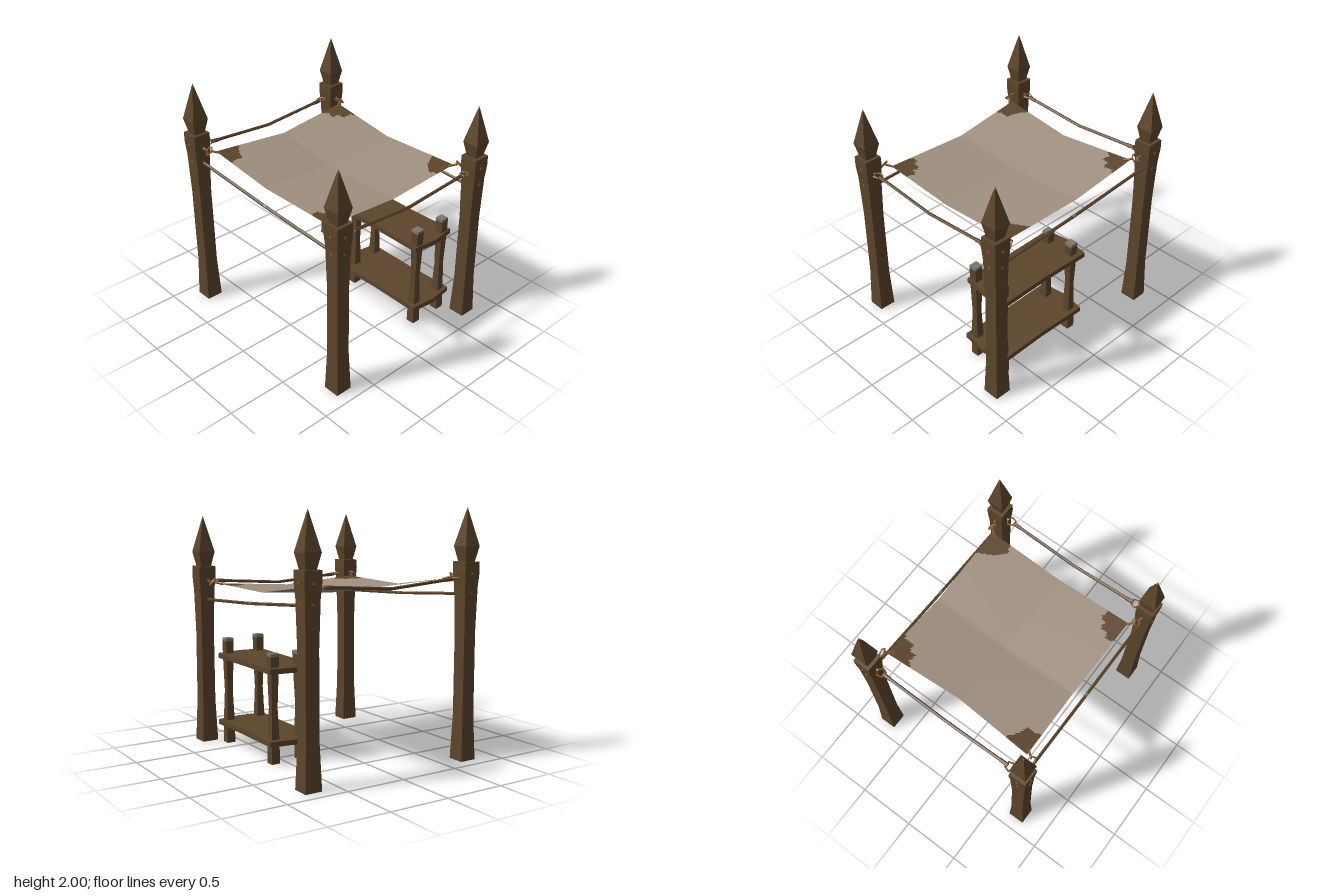
import * as THREE from 'three';

const mat = (name, color) => {
  const m = new THREE.MeshStandardMaterial({ color });
  m.name = name;
  return m;
};

export function createModel() {
  const wood = mat('wood', 0x5c452b);
  const cloth = mat('cloth', 0xa09080);
  const copper = mat('copper', 0x8a5a30);
  const worn = mat('worn wood', 0x7d766b);
  cloth.side = THREE.DoubleSide;
  const patchWood = mat('patch brown', 0x5c452b);
  patchWood.side = THREE.DoubleSide;

  const model = new THREE.Group();
  model.name = 'canopyStall';

  const add = (parent, name, geo, material, x = 0, y = 0, z = 0) => {
    const m = new THREE.Mesh(geo, material);
    m.name = name;
    m.position.set(x, y, z);
    parent.add(m);
    return m;
  };
  const faceted = (geo) => {
    const g = geo.index ? geo.toNonIndexed() : geo;
    g.computeVertexNormals();
    return g;
  };
  // Square turned post from [half width, height] pairs
  const squarePost = (profile) => faceted(new THREE.LatheGeometry(
    profile.map(([h, y]) => new THREE.Vector2(h * Math.SQRT2, y)), 4).rotateY(Math.PI / 4));
  // Straight five-sided bar between two points
  const bar = (parent, name, a, b, r, material) => {
    const from = new THREE.Vector3(...a), to = new THREE.Vector3(...b);
    const dir = to.clone().sub(from);
    const m = add(parent, name, faceted(new THREE.CylinderGeometry(r, r, dir.length(), 5)), material);
    m.position.copy(from).lerp(to, 0.5);
    m.quaternion.setFromUnitVectors(new THREE.Vector3(0, 1, 0), dir.normalize());
  };
  const ringGeo = faceted(new THREE.TorusGeometry(0.037, 0.008, 4, 5));

  // Corner posts with spearhead finials; the back pair is taller
  for (const sz of [1, -1]) {
    const lift = sz > 0 ? 0 : 0.08;
    const top = 1.5 + lift;
    for (const sx of [1, -1]) {
      const post = new THREE.Group();
      post.name = (sz > 0 ? 'front' : 'back') + (sx > 0 ? 'Left' : 'Right') + 'Post';
      post.position.set(sx * 0.725, 0, sz * 0.83);
      model.add(post);
      add(post, 'shaft', squarePost([[0, 0], [0.07, 0], [0.057, 0.36], [0.056, 0.95 + lift],
        [0.064, top - 0.2], [0.073, top - 0.08], [0.072, top], [0, top]]), wood);
      add(post, 'finial', squarePost([[0.044, top - 0.005], [0.07, top + 0.12], [0.006, top + 0.395]]), wood);
      add(post, 'finialTip', squarePost([[0.006, top + 0.395], [0, top + 0.42]]), worn);

      // Nail heads on the outer faces
      for (const [dy, h] of [[0.09, 0.072], [0.24, 0.062]]) {
        add(post, 'nail', new THREE.BoxGeometry(0.02, 0.016, 0.012), copper, 0, top - dy, sz * h);
        add(post, 'nail', new THREE.BoxGeometry(0.012, 0.016, 0.02), copper, sx * h, top - dy, 0);
      }

      // Ring and hook for the end rope
      const y = 1.375 + lift;
      const px = sx * 0.725, pz = sz * 0.83;
      bar(model, 'ropeHook', [px - sx * 0.06, y, pz], [px - sx * 0.09, y, pz], 0.01, copper);
      const flat = add(model, 'ropeRing', ringGeo, copper, sx * 0.61, y, pz);
      flat.rotation.set(Math.PI / 2, 0, sx > 0 ? 0 : Math.PI);

      // Tilted ring and hooks tying the cloth corner to the post
      bar(model, 'clothHook', [px, y + 0.01, pz - sz * 0.05], [px - sx * 0.01, y, pz - sz * 0.1], 0.01, copper);
      const tilted = add(model, 'clothRing', ringGeo, copper, sx * 0.708, y, sz * 0.70);
      tilted.lookAt(sx * 0.708 + sx * 0.75, y + 0.65, sz * 0.70 + sz * 0.25);
      bar(model, 'clothTie', [sx * 0.70, y, sz * 0.69], [sx * 0.64, 1.355 + lift, sz * 0.64], 0.009, copper);
    }

    // End rope, sagging at the middle
    const ry = 1.37 + lift, z = sz * 0.83;
    for (const sx of [1, -1]) {
      bar(model, 'endRope', [sx * 0.58, ry, z], [0, ry - 0.043, z], 0.013, wood);
      bar(model, 'endRopeSleeve', [sx * 0.59, ry, z], [sx * 0.52, ry - 0.005, z], 0.016, wood);
    }
  }

  // Side rails with a small joint at the middle
  for (const sx of [1, -1]) {
    const x = sx * 0.72;
    bar(model, 'sideRope', [x, 1.22, 0.78], [x, 1.262, 0], 0.013, wood);
    bar(model, 'sideRope', [x, 1.262, 0], [x, 1.325, -0.78], 0.013, wood);
    bar(model, 'ropeJoint', [x, 1.261, 0.03], [x, 1.263, 0], 0.0145, worn);
  }

  // Sagging cloth: bilinear between a 3 x 3 set of points, brown near each corner
  const ctrl = [
    [[-0.655, 1.44, -0.68], [0.01, 1.4, -0.63], [0.68, 1.44, -0.68]],
    [[-0.642, 1.352, -0.07], [0.01, 1.315, -0.07], [0.67, 1.352, -0.07]],
    [[-0.655, 1.365, 0.66], [0.01, 1.32, 0.66], [0.68, 1.365, 0.66]],
  ].map((row) => row.map((p) => new THREE.Vector3(...p)));
  const N = 64;
  const clothGeo = new THREE.PlaneGeometry(1, 1, N, N);
  const pos = clothGeo.attributes.position;
  for (let j = 0; j <= N; j++) {
    for (let i = 0; i <= N; i++) {
      const u = (i / N) * 2, v = (j / N) * 2;
      const a = Math.min(1, Math.floor(u)), b = Math.min(1, Math.floor(v));
      const p = ctrl[b][a].clone().lerp(ctrl[b][a + 1], u - a)
        .lerp(ctrl[b + 1][a].clone().lerp(ctrl[b + 1][a + 1], u - a), v - b);
      pos.setXYZ(j * (N + 1) + i, p.x, p.y, p.z);
    }
  }
  const plain = [], stained = [];
  const idx = clothGeo.index.array;
  for (let t = 0; t < idx.length; t += 3) {
    const tri = [idx[t], idx[t + 1], idx[t + 2]];
    const cx = tri.reduce((s, k) => s + pos.getX(k), 0) / 3;
    const cz = tri.reduce((s, k) => s + pos.getZ(k), 0) / 3;
    const dx = 0.67 - Math.abs(cx - 0.012), dz = 0.67 - Math.abs(cz + 0.01);
    const wobble = 0.2 + 0.015 * Math.sin(cx * 40 + cz * 55);
    (Math.hypot(dx, dz) < wobble ? stained : plain).push(...tri);
  }
  clothGeo.setIndex([...plain, ...stained]);
  clothGeo.clearGroups();
  clothGeo.addGroup(0, plain.length, 0);
  clothGeo.addGroup(plain.length, stained.length, 1);
  clothGeo.computeVertexNormals();
  add(model, 'canopyCloth', clothGeo, [cloth, patchWood]);

  // Shelf unit: two boards with bowed ends on four pinched legs
  const shelf = new THREE.Group();
  shelf.name = 'shelfUnit';
  model.add(shelf);
  const board = (name, x0, x1, zBack, zFront, y) => {
    const mid = (x0 + x1) / 2;
    const s = new THREE.Shape([
      [x0, -zFront + 0.025], [mid, -zFront], [x1, -zFront + 0.03],
      [x1 - 0.01, -(zFront + zBack) / 2],
      [x1, -zBack - 0.03], [mid, -zBack], [x0, -zBack - 0.025],
      [x0 + 0.01, -(zFront + zBack) / 2],
    ].map(([x, z]) => new THREE.Vector2(x, z)));
    const g = new THREE.ExtrudeGeometry(s, { depth: 0.042, bevelEnabled: false }).rotateX(-Math.PI / 2);
    add(shelf, name, g, wood, 0, y, 0);
  };
  board('upperShelf', 0.255, 0.675, -0.225, 0.715, 0.73);
  board('lowerShelf', 0.24, 0.67, -0.215, 0.735, 0.153);

  for (const [x, z, h, tilt] of [[0.31, 0.65, 0.91, 0], [0.6, 0.65, 0.9, 0],
    [0.345, -0.1, 0.88, 0.02], [0.6, -0.11, 0.88, 0]]) {
    const leg = new THREE.Group();
    leg.name = 'shelfLeg';
    leg.position.set(x, 0, z);
    leg.rotation.z = -tilt;
    shelf.add(leg);
    add(leg, 'legShaft', squarePost([[0, 0], [0.037, 0], [0.034, 0.2], [0.025, 0.45],
      [0.033, 0.74], [0.035, h - 0.025]]), wood);
    add(leg, 'legCap', squarePost([[0.035, h - 0.025], [0.035, h], [0, h]]), worn);
  }

  return model;
}
